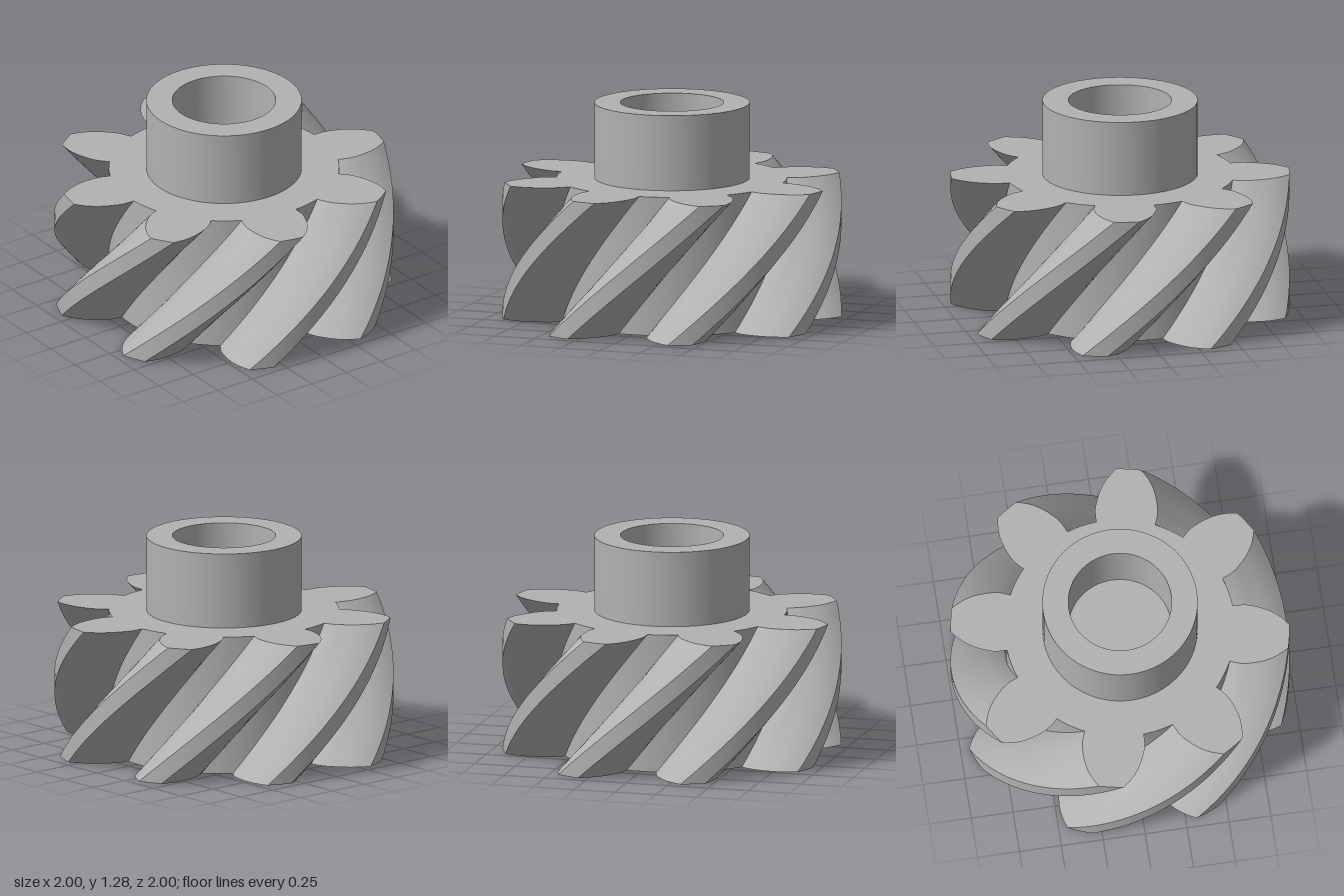
import * as THREE from 'three';
import { toCreasedNormals } from 'three/addons/utils/BufferGeometryUtils.js';

const TEETH = 8;
const HEIGHT = 0.83;
const TWIST = THREE.MathUtils.degToRad(55.8);
const BOTTOM_ANGLE = THREE.MathUtils.degToRad(-112.3); // centre of the first tooth at y = 0
const ROOT_RADIUS = 0.68;

// Half of a tooth: radius against half-width in degrees, root to tip
const FLANK = new THREE.SplineCurve([
  [ROOT_RADIUS, 14.8], [0.75, 14.3], [0.82, 12.4], [0.89, 10], [0.95, 7.2], [1, 4.2],
].map(([r, a]) => new THREE.Vector2(r, a))).getPoints(10);

function gearOutline() {
  const points = [];
  const add = (r, a) => points.push(new THREE.Vector2(r * Math.cos(a), r * Math.sin(a)));
  const rad = THREE.MathUtils.degToRad;
  for (let i = 0; i < TEETH; i++) {
    const centre = BOTTOM_ANGLE + (i * 2 * Math.PI) / TEETH;
    FLANK.forEach((p) => add(p.x, centre - rad(p.y)));
    for (const a of [-2.1, 0, 2.1]) add(1, centre + rad(a)); // tip land
    [...FLANK].reverse().forEach((p) => add(p.x, centre + rad(p.y)));
    for (const a of [18.65, 22.5, 26.35]) add(ROOT_RADIUS, centre + rad(a)); // root arc
  }
  return new THREE.Shape(points);
}

// Straight extrusion turned about its axis in proportion to height
function helicalGear() {
  const geometry = new THREE.ExtrudeGeometry(gearOutline(), {
    depth: HEIGHT, steps: 36, bevelEnabled: false,
  });
  geometry.rotateX(-Math.PI / 2);
  const position = geometry.attributes.position;
  const axis = new THREE.Vector3(0, 1, 0);
  const v = new THREE.Vector3();
  for (let i = 0; i < position.count; i++) {
    v.fromBufferAttribute(position, i);
    v.applyAxisAngle(axis, (TWIST * v.y) / HEIGHT);
    position.setXYZ(i, v.x, v.y, v.z);
  }
  return toCreasedNormals(geometry, THREE.MathUtils.degToRad(25));
}

// Collar with a bore that ends on the gear's top face
function hubCollar() {
  const outer = 0.458, inner = 0.305, top = 1.28;
  const profile = [[outer, HEIGHT], [outer, top], [inner, top], [inner, HEIGHT]];
  const geometry = new THREE.LatheGeometry(profile.map(([x, y]) => new THREE.Vector2(x, y)), 96);
  return toCreasedNormals(geometry, THREE.MathUtils.degToRad(30));
}

export function createModel() {
  const steel = new THREE.MeshStandardMaterial({ color: 0xb2b2b2 });
  steel.name = 'grey steel';

  const model = new THREE.Group();
  model.name = 'helicalPinion';
  const addPart = (name, geometry) => {
    const mesh = new THREE.Mesh(geometry, steel);
    mesh.name = name;
    model.add(mesh);
  };
  addPart('toothedBody', helicalGear());
  addPart('hub', hubCollar());
  return model;
}
